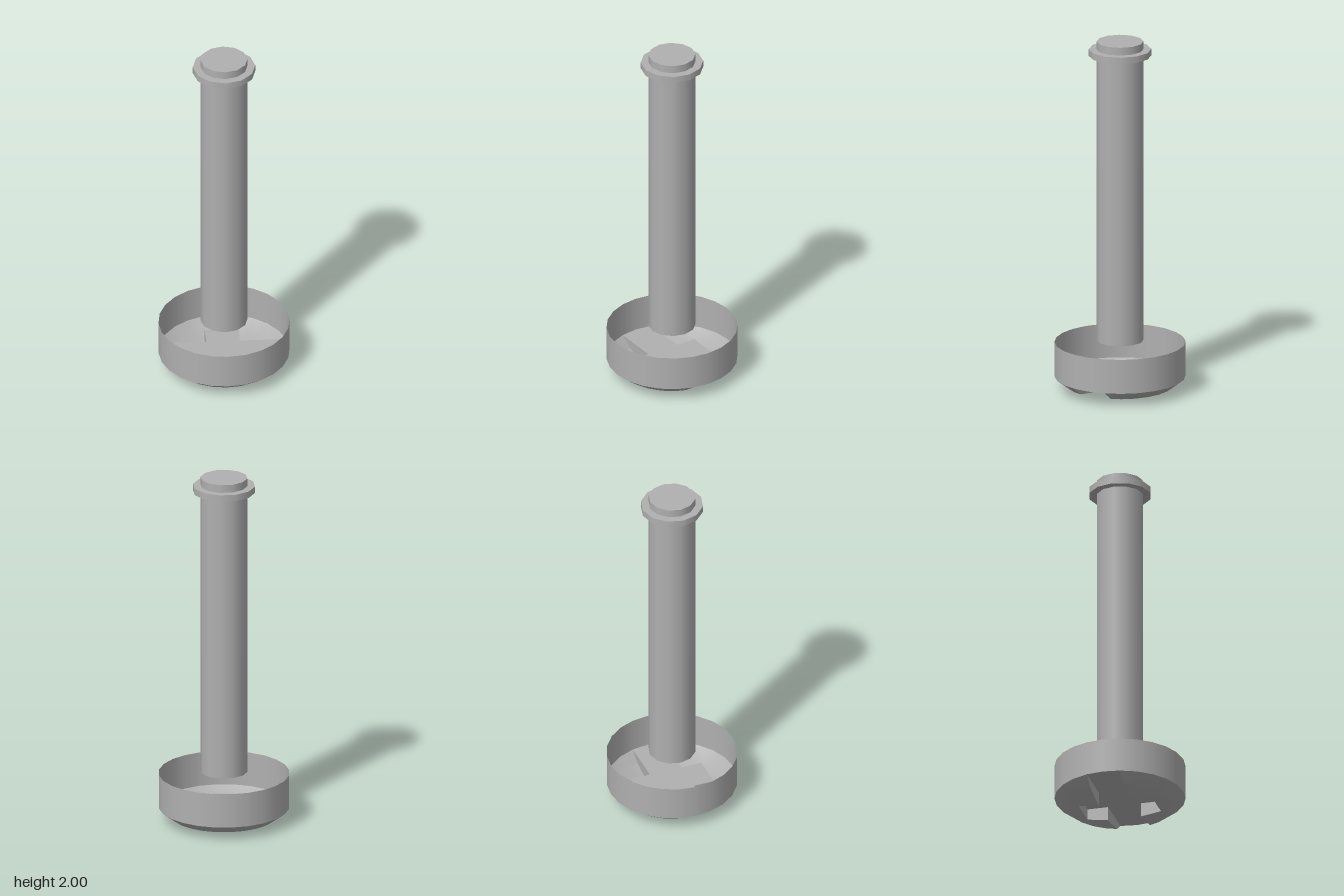
import * as THREE from 'three';

const R = 0.362;               // head radius, 24 sides
const HEAD_Y = 0.08;           // level where the dome meets the rim
const KNEE_R = 0.296, KNEE_Y = 0.03;
const rad = THREE.MathUtils.degToRad;
const SLOT = R * Math.sin(rad(15)); // half width of both slots
const ARM = 0.21;              // reach of the short slot
const TIP_R = SLOT * Math.SQRT2;

// Radius factor of a 24-sided outline at an angle in degrees
const chord = (d) => Math.cos(rad(7.5)) / Math.cos(rad((d % 15) - 7.5));

// Distance from the centre to the edge of the cross-shaped slot
function slotRadius(d) {
  const s = Math.sin(rad(d)), c = Math.max(Math.abs(Math.cos(rad(d))), 1e-6);
  return Math.max(SLOT / s, Math.min(SLOT / c, ARM / s));
}

// Height of the dome at a radius
function domeY(r) {
  return r < KNEE_R
    ? KNEE_Y * (r - TIP_R) / (KNEE_R - TIP_R)
    : KNEE_Y + (HEAD_Y - KNEE_Y) * (r - KNEE_R) / (R - KNEE_R);
}

// Quad strip surface from equally long rows of points
function surface(rows) {
  const n = rows[0].length, index = [];
  for (let i = 0; i < rows.length - 1; i++) {
    for (let j = 0; j < n - 1; j++) {
      const a = i * n + j, b = a + n;
      index.push(a, a + 1, b, a + 1, b + 1, b);
    }
  }
  const g = new THREE.BufferGeometry();
  g.setAttribute('position', new THREE.Float32BufferAttribute(rows.flat(2), 3));
  g.setIndex(index);
  g.computeVertexNormals();
  return g;
}

export function createModel() {
  const model = new THREE.Group();
  model.name = 'pin';
  const grey = new THREE.MeshStandardMaterial({ color: 0xb0b0b0, side: THREE.DoubleSide });
  grey.name = 'grey';

  function add(name, geometry, y = 0) {
    const mesh = new THREE.Mesh(geometry, grey);
    mesh.name = name;
    mesh.position.y = y;
    model.add(mesh);
    return mesh;
  }

  // Shaft and collar
  add('shaft', new THREE.CylinderGeometry(0.13, 0.13, 1.715, 12), 1.1425);
  add('collar', new THREE.CylinderGeometry(0.173, 0.173, 0.037, 12), 1.937);

  // Open rim of the head
  add('headRim', new THREE.CylinderGeometry(R, R, 0.195, 24, 1, true), HEAD_Y + 0.0975);

  // Domed underside: two halves on either side of the long slot
  const kneeAngle = THREE.MathUtils.radToDeg(Math.asin(SLOT / KNEE_R));
  const armAngle = THREE.MathUtils.radToDeg(Math.atan2(ARM, SLOT));
  const quarter = [15, kneeAngle, 30, 45, 60, armAngle, 75];
  const angles = [...quarter, 90, ...quarter.map((d) => 180 - d).reverse()];
  const point = (d, r, y) => [r * Math.cos(rad(d)), y, r * Math.sin(rad(d))];

  const domeRows = angles.map((d) => {
    const f = chord(d), inner = slotRadius(d);
    return [inner, Math.max(inner, KNEE_R * f), Math.max(inner, R * f)]
      .map((r) => point(d, r, domeY(r / f)));
  });
  const dome = surface(domeRows);

  // Upright slot walls, flat shaded
  const wallRows = angles.map((d) => {
    const r = slotRadius(d);
    return [point(d, r, HEAD_Y), point(d, r, domeY(r / chord(d)))];
  });
  const walls = surface(wallRows).toNonIndexed();
  walls.computeVertexNormals();

  for (const [side, turn] of [['front', 0], ['back', Math.PI]]) {
    add(side + 'Dome', dome).rotation.y = turn;
    add(side + 'SlotWalls', walls).rotation.y = turn;
  }

  // Cross-shaped slot ceiling
  const edge = R * Math.cos(rad(15));
  const half = [[R, 0], [edge, SLOT], [SLOT, SLOT], [SLOT, ARM],
    [-SLOT, ARM], [-SLOT, SLOT], [-edge, SLOT]];
  const outline = [...half, ...half.map(([x, z]) => [-x, -z])];
  const cross = new THREE.Shape(outline.map(([x, z]) => new THREE.Vector2(x, z)));
  add('slotCeiling', new THREE.ShapeGeometry(cross).rotateX(Math.PI / 2), HEAD_Y);

  return model;
}
